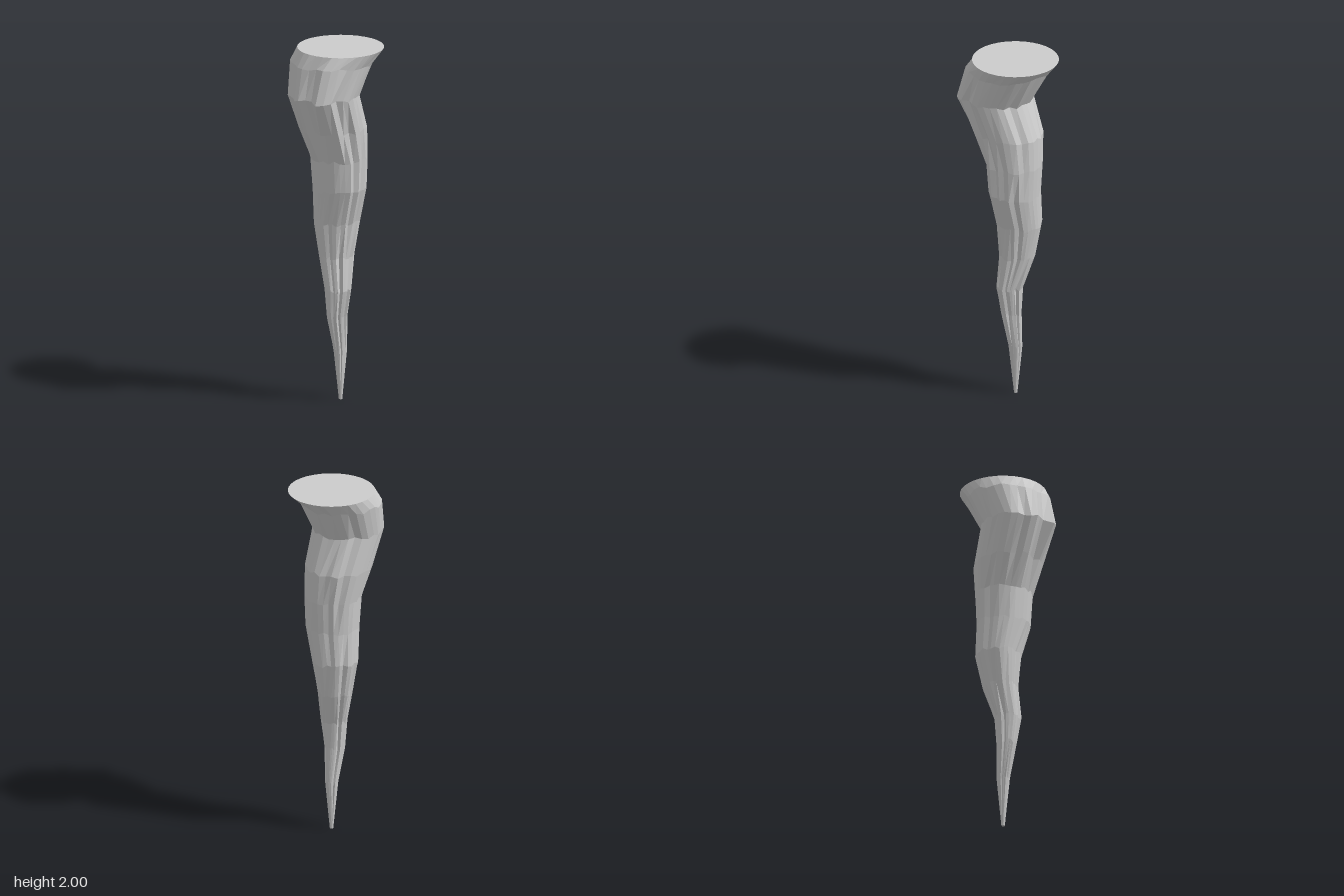
import * as THREE from 'three';

const SIDES = 32;

// Rings from tip to top: height, left x, right x, back z, front z, crack strength
const RINGS = [
  [0.00, 0.033, 0.051, -0.010, 0.010, 0],
  [0.28, 0.000, 0.080, -0.033, 0.034, 1.6],
  [0.48, -0.046, 0.074, -0.050, 0.054, 1.8],
  [0.63, -0.062, 0.083, -0.064, 0.085, 1.6],
  [0.82, -0.066, 0.136, -0.115, 0.071, 1.3],
  [1.01, -0.082, 0.171, -0.158, 0.092, 1],
  [1.20, -0.105, 0.178, -0.152, 0.148, 1],
  [1.38, -0.120, 0.188, -0.162, 0.157, 1],
  [1.55, -0.200, 0.185, -0.188, 0.170, 1],
  [1.75, -0.280, 0.112, -0.200, 0.190, 1],
  [1.93, -0.240, 0.212, -0.240, 0.212, 0.4],
  [2.00, -0.197, 0.280, -0.237, 0.240, 0],
];

// Cracks (negative) and ridges (positive): column, amount, lowest ring, highest ring
const RELIEF = [
  // Bulging shoulder on the left
  [10, -0.06, 8, 9], [11, 0.08, 8, 10], [12, 0.13, 9, 10], [13, 0.12, 9, 10],
  [14, -0.14, 8, 10], [15, -0.10, 8, 10], [17, -0.02, 9, 10], [18, -0.11, 8, 10],
  [19, -0.05, 8, 10],
  // Front cracks
  [9, -0.10, 5, 8], [10, 0.04, 5, 7], [7, -0.08, 6, 7], [5, -0.10, 4, 6],
  [11, -0.14, 1, 4], [7, -0.12, 2, 4], [14, -0.08, 2, 5],
  // Right side cracks
  [29, -0.10, 5, 7], [30, -0.05, 5, 8], [3, -0.06, 7, 9], [2, -0.10, 1, 3],
  // Back cracks
  [27, -0.08, 7, 10], [22, -0.08, 4, 7], [21, -0.10, 1, 4], [26, -0.12, 1, 5],
];

function seeded(seed) {
  return () => {
    seed = (seed * 16807) % 2147483647;
    return seed / 2147483647;
  };
}

function relief(column, ring) {
  return RELIEF.reduce((sum, [at, amount, low, high]) =>
    at === column && ring >= low && ring <= high ? sum + amount : sum, 0);
}

function rootGeometry() {
  const random = seeded(41);
  const points = [];
  RINGS.forEach(([y, left, right, back, front, strength], ring) => {
    for (let i = 0; i < SIDES; i++) {
      const a = (i / SIDES) * Math.PI * 2;
      const wobble = (random() - 0.5) * 0.025;
      const r = 1 + strength * (relief(i, ring) + wobble);
      const lift = strength ? (random() - 0.5) * 0.022 : 0;
      points.push(
        (left + right) / 2 + Math.cos(a) * r * (right - left) / 2,
        y + lift,
        (back + front) / 2 + Math.sin(a) * r * (front - back) / 2,
      );
    }
  });

  // Walls between rings
  const index = [];
  for (let k = 0; k < RINGS.length - 1; k++) {
    for (let i = 0; i < SIDES; i++) {
      const a = k * SIDES + i, b = k * SIDES + (i + 1) % SIDES;
      index.push(a, a + SIDES, b, b, a + SIDES, b + SIDES);
    }
  }

  // Closed tip and flat top
  const top = (RINGS.length - 1) * SIDES;
  for (let i = 1; i < SIDES - 1; i++) {
    index.push(0, i, i + 1);
    index.push(top, top + i + 1, top + i);
  }

  const geometry = new THREE.BufferGeometry();
  geometry.setAttribute('position', new THREE.Float32BufferAttribute(points, 3));
  geometry.setIndex(index);
  geometry.computeVertexNormals();
  return geometry;
}

export function createModel() {
  const group = new THREE.Group();
  group.name = 'taperedRoot';
  const material = new THREE.MeshStandardMaterial({ color: 0xcccccc, flatShading: true });
  const root = new THREE.Mesh(rootGeometry(), material);
  root.name = 'rootBody';
  group.add(root);
  return group;
}
